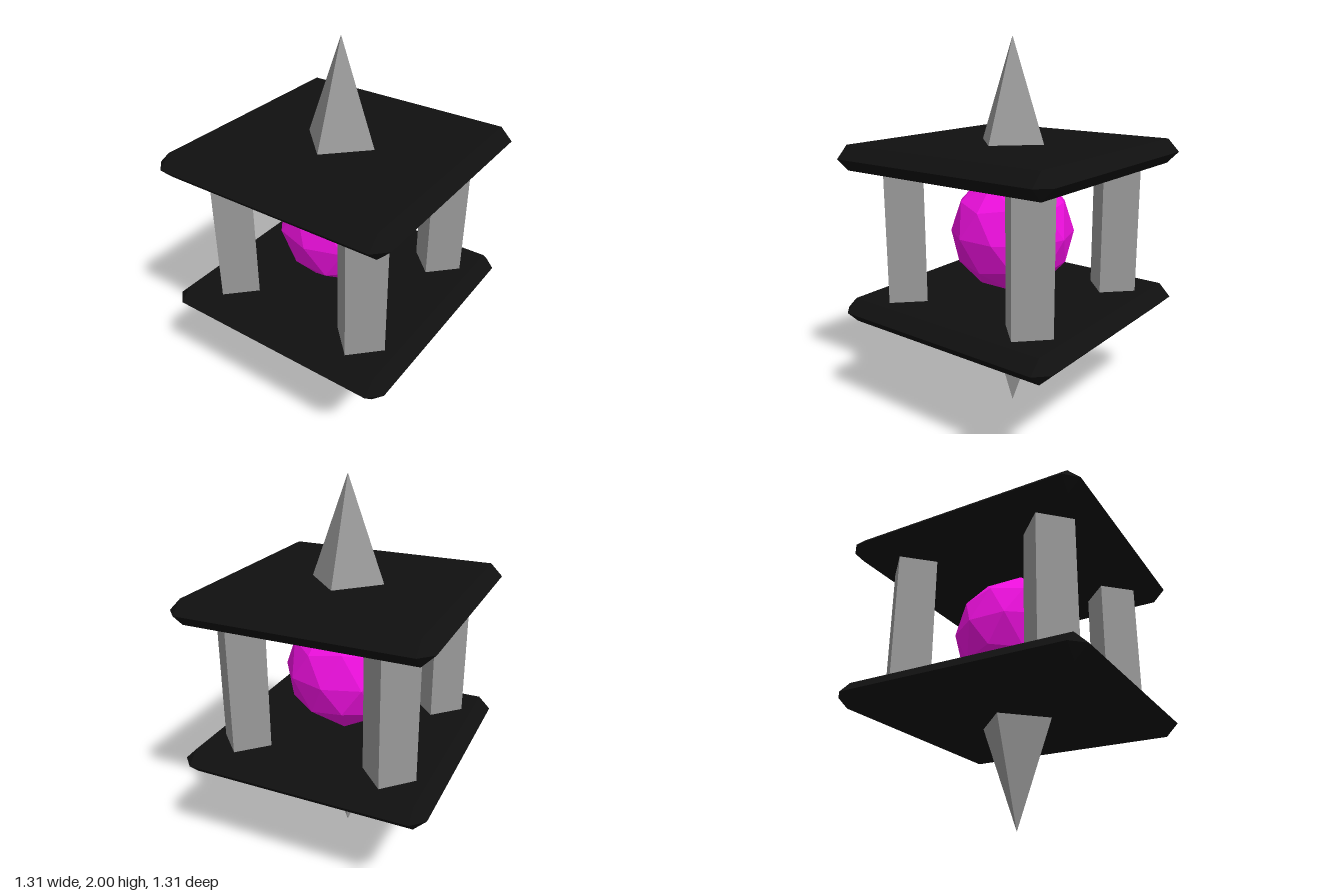
import * as THREE from 'three';
import { ConvexGeometry } from 'three/addons/geometries/ConvexGeometry.js';

const MID = 1.003; // height of the mirror plane between the plates

const material = (color) => new THREE.MeshStandardMaterial({ color, flatShading: true });

export function createModel() {
  const group = new THREE.Group();
  const stone = material(0x999999);
  const black = material(0x101010);
  const magenta = material(0xf010e0);

  const add = (name, geometry, mat, x, y, z) => {
    const mesh = new THREE.Mesh(geometry, mat);
    mesh.name = name;
    mesh.position.set(x, y, z);
    group.add(mesh);
    return mesh;
  };

  // Square plate whose bevels meet in a sharp ridge at mid height
  const inner = 0.59, outer = 0.655, half = 0.065;
  const points = [];
  for (const sx of [-1, 1]) for (const sz of [-1, 1]) {
    points.push(
      new THREE.Vector3(sx * inner, half, sz * inner),
      new THREE.Vector3(sx * inner, -half, sz * inner),
      new THREE.Vector3(sx * outer, 0, sz * inner),
      new THREE.Vector3(sx * inner, 0, sz * outer),
    );
  }
  const plate = new ConvexGeometry(points);
  const plateOffset = 0.407;
  add('topPlate', plate, black, 0, MID + plateOffset, 0);
  add('bottomPlate', plate, black, 0, MID - plateOffset, 0);

  // Four-sided spikes standing on the outer faces of the plates
  const spikeBase = plateOffset + half;
  const spikeHeight = 2 - MID - spikeBase;
  const spike = new THREE.ConeGeometry(0.197, spikeHeight, 4);
  add('topSpike', spike, stone, 0, MID + spikeBase + spikeHeight / 2, 0);
  const bottomHeight = MID - spikeBase;
  const bottomSpike = new THREE.ConeGeometry(0.197, bottomHeight, 4).rotateX(Math.PI);
  add('bottomSpike', bottomSpike, stone, 0, bottomHeight / 2, 0);

  // Square pillars turned edge-on, one near each corner
  const pillar = new THREE.CylinderGeometry(0.139, 0.139, 2 * (plateOffset - half) + 0.01, 4);
  for (const sx of [-1, 1]) for (const sz of [-1, 1]) {
    add('pillar', pillar, stone, sx * 0.396, MID, sz * 0.396);
  }

  // Faceted orb, tipped so that one vertex points straight up
  const orb = new THREE.IcosahedronGeometry(0.327, 1);
  orb.rotateZ(-Math.atan(2 / (1 + Math.sqrt(5))));
  add('orb', orb, magenta, 0, MID, 0);

  return group;
}
